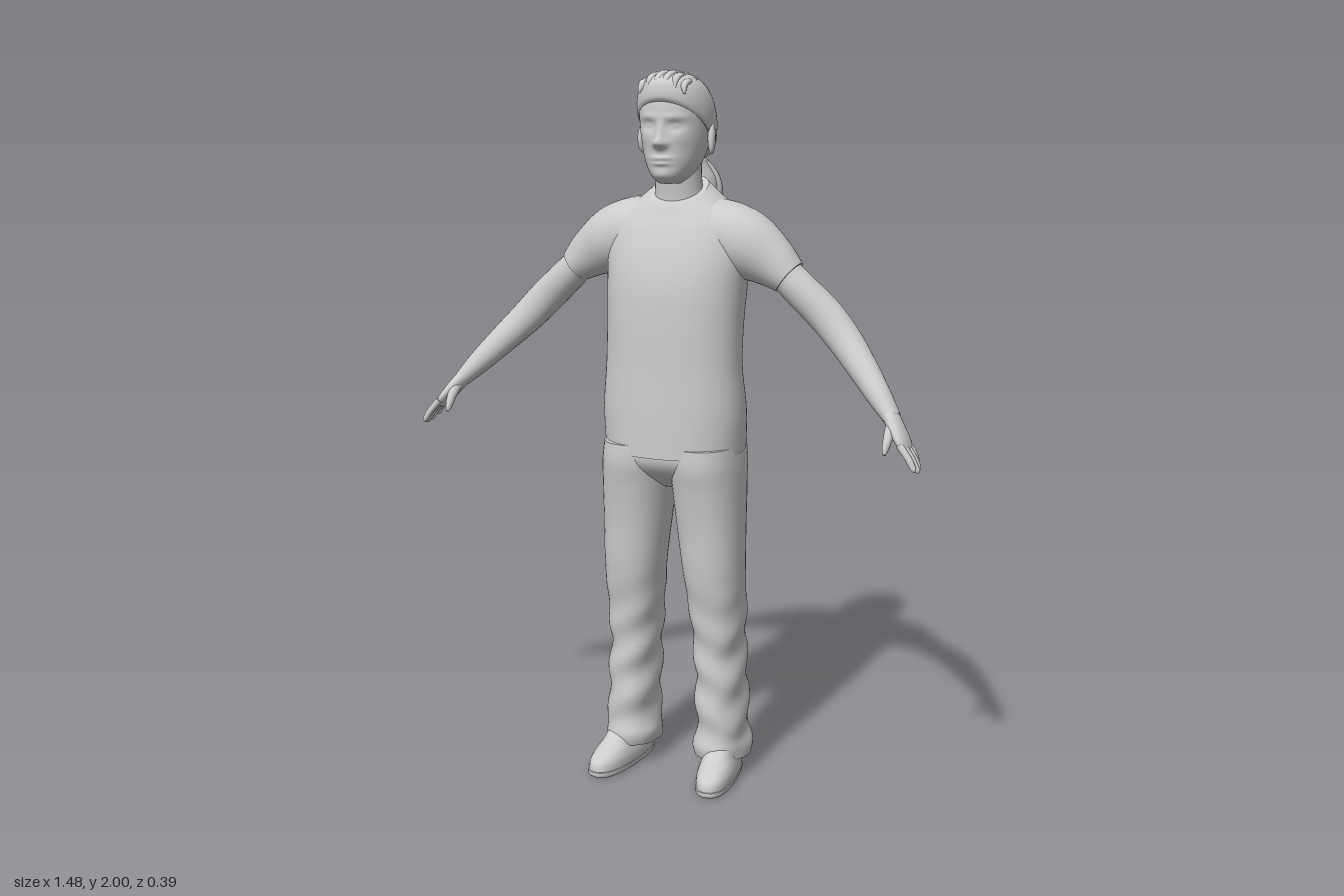
import * as THREE from 'three';

const grey = new THREE.MeshStandardMaterial({ color: 0xcccccc });
grey.name = 'light grey';

// Catmull-Rom resampling of rows of numbers
function resample(rows, steps) {
  const out = [];
  const at = i => rows[Math.max(0, Math.min(rows.length - 1, i))];
  for (let i = 0; i < rows.length - 1; i++) {
    for (let s = 0; s < steps; s++) {
      const t = s / steps;
      out.push(rows[i].map((b, k) => {
        const a = at(i - 1)[k], c = at(i + 1)[k], d = at(i + 2)[k];
        return 0.5 * (2 * b + (c - a) * t + (2 * a - 5 * b + 4 * c - d) * t * t + (3 * b - a - 3 * c + d) * t * t * t);
      }));
    }
  }
  out.push(at(rows.length - 1));
  return out;
}

// Skin over rings { c, u, v, ru, rv } with a flat cap on both ends
function skin(rings, segs, power) {
  const pos = [], idx = [];
  const bend = n => Math.sign(n) * Math.abs(n) ** power;
  const addRing = r => {
    for (let j = 0; j < segs; j++) {
      const a = (j / segs) * Math.PI * 2;
      const sv = bend(Math.sin(a));
      const p = r.c.clone().addScaledVector(r.u, bend(Math.cos(a)) * r.ru).addScaledVector(r.v, sv * r.rv);
      pos.push(p.x, p.y + (r.tilt || 0) * sv, p.z);
    }
  };
  rings.forEach(addRing);
  for (let i = 0; i < rings.length - 1; i++) {
    for (let j = 0; j < segs; j++) {
      const a = i * segs + j, b = i * segs + (j + 1) % segs;
      idx.push(a, a + segs, b, b, a + segs, b + segs);
    }
  }
  [rings[0], rings[rings.length - 1]].forEach((r, end) => {
    const start = pos.length / 3;
    addRing(r);
    pos.push(r.c.x, r.c.y, r.c.z);
    for (let j = 0; j < segs; j++) {
      const a = start + j, b = start + (j + 1) % segs, m = start + segs;
      if (end) idx.push(a, m, b); else idx.push(a, b, m);
    }
  });
  const g = new THREE.BufferGeometry();
  g.setAttribute('position', new THREE.Float32BufferAttribute(pos, 3));
  g.setIndex(idx);
  g.computeVertexNormals();
  return g;
}

// Upright body: rows of [y, centre x, half width, front z, back z, tilt]
function upright(rows, segs = 40, power = 0.9, steps = 5) {
  const u = new THREE.Vector3(1, 0, 0), v = new THREE.Vector3(0, 0, 1);
  return skin(resample(rows, steps).map(([y, x, w, f, b, tilt]) => ({
    c: new THREE.Vector3(x, y, (f + b) / 2), u, v, ru: w, rv: (f - b) / 2, tilt,
  })), segs, power);
}

// Limb along a path: rows of [x, y, z, thickness radius, depth radius]
function limb(rows, segs = 20, steps = 5) {
  const s = resample(rows, steps);
  const pts = s.map(r => new THREE.Vector3(r[0], r[1], r[2]));
  return skin(s.map((r, i) => {
    const t = pts[Math.min(i + 1, s.length - 1)].clone().sub(pts[Math.max(i - 1, 0)]).normalize();
    const v = new THREE.Vector3(0, 0, 1).addScaledVector(t, -t.z).normalize();
    return { c: pts[i], u: t.clone().cross(v), v, ru: r[3], rv: r[4] };
  }), segs, 1);
}

// Move each vertex by a rule
function deform(g, rule) {
  const p = g.attributes.position, v = new THREE.Vector3();
  for (let i = 0; i < p.count; i++) {
    rule(v.fromBufferAttribute(p, i));
    p.setXYZ(i, v.x, v.y, v.z);
  }
  g.computeVertexNormals();
  return g;
}

function mirrored(g) {
  const m = g.clone().scale(-1, 1, 1);
  const ix = m.index.array;
  for (let i = 0; i < ix.length; i += 3) [ix[i], ix[i + 1]] = [ix[i + 1], ix[i]];
  m.computeVertexNormals();
  return m;
}

export function createModel() {
  const model = new THREE.Group();
  model.name = 'standingFigure';
  const add = (name, g) => {
    const mesh = new THREE.Mesh(g, grey);
    mesh.name = name;
    model.add(mesh);
  };
  const addPair = (name, g) => {
    add(name + 'Left', g);
    add(name + 'Right', mirrored(g));
  };

  // Shirt body and sleeves
  add('shirt', upright([
    [0.965, 0, 0.2, 0.153, -0.148, -0.008], [1.08, 0, 0.204, 0.15, -0.132, 0], [1.2, 0, 0.194, 0.146, -0.116, 0],
    [1.32, 0, 0.193, 0.143, -0.13, 0], [1.42, 0, 0.197, 0.136, -0.15, 0], [1.5, 0, 0.2, 0.118, -0.155, 0],
    [1.57, 0, 0.19, 0.092, -0.15, 0], [1.62, 0, 0.16, 0.072, -0.137, -0.01],
    [1.655, 0, 0.115, 0.06, -0.115, -0.02], [1.68, 0, 0.08, 0.052, -0.093, -0.032],
  ], 56, 0.88));
  addPair('sleeve', limb([
    [0.06, 1.565, -0.04, 0.09, 0.1], [0.13, 1.555, -0.038, 0.097, 0.1], [0.2, 1.53, -0.034, 0.093, 0.09],
    [0.265, 1.493, -0.032, 0.073, 0.068], [0.319, 1.452, -0.031, 0.051, 0.055],
  ], 32));

  // Arms with palm, fingers and thumb
  addPair('arm', limb([
    [0.28, 1.485, -0.031, 0.046, 0.05], [0.35, 1.42, -0.033, 0.048, 0.049], [0.42, 1.355, -0.037, 0.05, 0.047],
    [0.48, 1.293, -0.025, 0.047, 0.045], [0.54, 1.23, 0.007, 0.041, 0.04],
    [0.6, 1.165, 0.045, 0.033, 0.034], [0.645, 1.115, 0.072, 0.023, 0.03],
  ], 28));
  addPair('palm', limb([
    [0.635, 1.127, 0.066, 0.022, 0.028], [0.66, 1.095, 0.085, 0.02, 0.036],
    [0.685, 1.06, 0.101, 0.016, 0.042], [0.697, 1.04, 0.108, 0.01, 0.036],
  ]));
  for (let i = 0; i < 4; i++) {
    const z = 0.077 + i * 0.02, reach = [0.75, 0.95, 1, 0.9][i];
    addPair('finger' + (i + 1), limb([
      [0.685, 1.06, z, 0.01, 0.01], [0.685 + 0.03 * reach, 1.06 - 0.035 * reach, z + 0.008, 0.0095, 0.0095],
      [0.685 + 0.047 * reach, 1.06 - 0.064 * reach, z + 0.012, 0.008, 0.008],
      [0.685 + 0.049 * reach, 1.06 - 0.071 * reach, z + 0.013, 0.003, 0.003],
    ], 10, 3));
  }
  addPair('thumb', limb([
    [0.65, 1.1, 0.095, 0.015, 0.016], [0.651, 1.075, 0.124, 0.013, 0.014],
    [0.65, 1.05, 0.143, 0.0095, 0.011], [0.65, 1.034, 0.153, 0.004, 0.005],
  ], 12, 4));

  // Trousers
  add('trouserSeat', upright([
    [0.985, 0, 0.19, 0.145, -0.138, 0], [0.94, 0, 0.192, 0.143, -0.134, 0],
    [0.9, 0, 0.17, 0.115, -0.115, 0], [0.86, 0, 0.1, 0.06, -0.08, 0], [0.845, 0, 0.04, 0.02, -0.04, 0],
  ].reverse(), 48, 0.85));
  addPair('trouserLeg', deform(upright([
    [0.055, 0.14, 0.073, 0.083, -0.118, 0.012], [0.09, 0.141, 0.077, 0.087, -0.12, 0.008], [0.14, 0.14, 0.068, 0.084, -0.115, 0],
    [0.25, 0.137, 0.068, 0.082, -0.115, 0], [0.38, 0.131, 0.067, 0.082, -0.113, 0], [0.5, 0.127, 0.076, 0.092, -0.105, 0],
    [0.62, 0.121, 0.084, 0.11, -0.092, 0], [0.75, 0.113, 0.092, 0.12, -0.1, 0], [0.86, 0.107, 0.097, 0.135, -0.117, 0],
    [0.93, 0.103, 0.098, 0.147, -0.134, 0], [0.985, 0.1, 0.095, 0.145, -0.136, 0],
  ], 40, 0.87, 8), v => {
    const fold = 0.004 * Math.max(0, Math.min(1, (0.62 - v.y) * 4));
    v.z += fold * Math.sin(v.y * 52 + v.x * 25);
    v.x += fold * Math.sin(v.y * 44 + v.z * 22);
  }));

  // Shoes, turned slightly outward
  const place = g => g.rotateY(0.13).translate(0.149, 0, 0);
  addPair('shoeSole', place(upright([
    [0, 0, 0.05, 0.188, -0.095, 0], [0.006, 0, 0.054, 0.195, -0.1, 0], [0.018, 0, 0.055, 0.196, -0.101, 0],
  ], 32, 0.8, 3)));
  addPair('shoeUpper', place(upright([
    [0.015, 0, 0.053, 0.193, -0.098, 0], [0.04, 0, 0.053, 0.187, -0.1, 0], [0.06, 0, 0.049, 0.16, -0.098, 0],
    [0.08, 0, 0.045, 0.115, -0.094, 0], [0.12, 0, 0.042, 0.06, -0.085, 0],
  ], 32, 0.85)));

  // Neck and head with sculpted face
  add('neck', upright([
    [1.6, 0, 0.075, 0.045, -0.1, 0], [1.66, 0, 0.068, 0.046, -0.09, 0],
    [1.71, 0, 0.063, 0.05, -0.083, 0], [1.78, 0, 0.063, 0.05, -0.085, 0],
  ], 32, 1));
  // Face bumps: [x, y, push, spread x, spread y]
  const bumps = [
    [0, 1.81, 0.022, 0.011, 0.011], [0, 1.835, 0.011, 0.009, 0.02], [0.014, 1.806, 0.007, 0.007, 0.006],
    [0.038, 1.853, -0.009, 0.016, 0.009], [0.036, 1.877, 0.004, 0.022, 0.006], [0.038, 1.853, 0.005, 0.009, 0.004],
    [0, 1.769, 0.009, 0.02, 0.004], [0, 1.755, 0.008, 0.017, 0.004], [0, 1.725, 0.005, 0.02, 0.01],
    [0.05, 1.82, 0.003, 0.018, 0.015],
  ];
  add('head', deform(upright([
    [1.7, 0, 0.032, 0.08, -0.02, 0], [1.72, 0, 0.053, 0.098, -0.05, 0], [1.755, 0, 0.073, 0.104, -0.077, 0],
    [1.8, 0, 0.086, 0.106, -0.1, 0], [1.85, 0, 0.094, 0.108, -0.112, 0], [1.9, 0, 0.096, 0.108, -0.112, 0],
    [1.94, 0, 0.086, 0.097, -0.098, 0], [1.97, 0, 0.06, 0.07, -0.068, 0], [1.985, 0, 0.02, 0.02, -0.02, 0],
  ], 112, 0.94, 10), v => {
    if (v.z <= 0.02) return;
    for (const [x, y, push, sx, sy] of bumps) {
      const dx = (Math.abs(v.x) - x) / sx, dy = (v.y - y) / sy;
      v.z += push * Math.exp(-(dx * dx + dy * dy) / 2);
    }
  }));
  addPair('ear', new THREE.SphereGeometry(1, 16, 12).scale(0.011, 0.044, 0.024)
    .rotateX(-0.15).rotateY(0.35).translate(0.099, 1.818, -0.01));

  // Swept-back hair, parting locks and ponytail
  add('hair', upright([
    [1.835, 0, 0.097, 0.109, -0.108, 0.085], [1.85, 0, 0.103, 0.114, -0.122, 0.08], [1.89, 0, 0.104, 0.113, -0.126, 0.06],
    [1.935, 0, 0.094, 0.106, -0.11, 0.035], [1.968, 0, 0.072, 0.088, -0.075, 0.016],
    [1.985, 0, 0.044, 0.06, -0.04, 0.006], [1.99, 0, 0.012, 0.018, -0.012, 0],
  ], 48, 0.95));
  for (let i = 0; i < 3; i++) {
    const x = 0.012 + i * 0.024, drop = i * i * 0.005;
    addPair('hairLock' + (i + 1), limb([
      [x * 1.1, 1.958 - drop, 0.107 - i * 0.005, 0.003, 0.002], [x, 1.982 - drop, 0.085, 0.011, 0.008],
      [x, 1.989 - drop, 0.03, 0.012, 0.008], [x * 1.1, 1.972 - drop, -0.04, 0.003, 0.002],
    ], 10, 4));
  }
  add('hairTie', new THREE.TorusGeometry(0.021, 0.009, 10, 24).rotateX(-0.75).translate(0, 1.768, -0.122));
  add('ponytail', upright([
    [1.59, 0, 0.012, -0.142, -0.162, 0], [1.62, 0, 0.04, -0.122, -0.185, 0], [1.66, 0, 0.055, -0.12, -0.196, 0],
    [1.7, 0, 0.053, -0.115, -0.192, 0], [1.74, 0, 0.034, -0.108, -0.167, 0], [1.78, 0, 0.018, -0.085, -0.13, 0],
  ], 28, 0.95));
  addPair('ponytailStrand', limb([
    [0.012, 1.76, -0.135, 0.008, 0.008], [0.045, 1.71, -0.16, 0.012, 0.012],
    [0.057, 1.66, -0.172, 0.01, 0.012], [0.05, 1.615, -0.19, 0.002, 0.002],
  ], 10, 4));
  return model;
}
